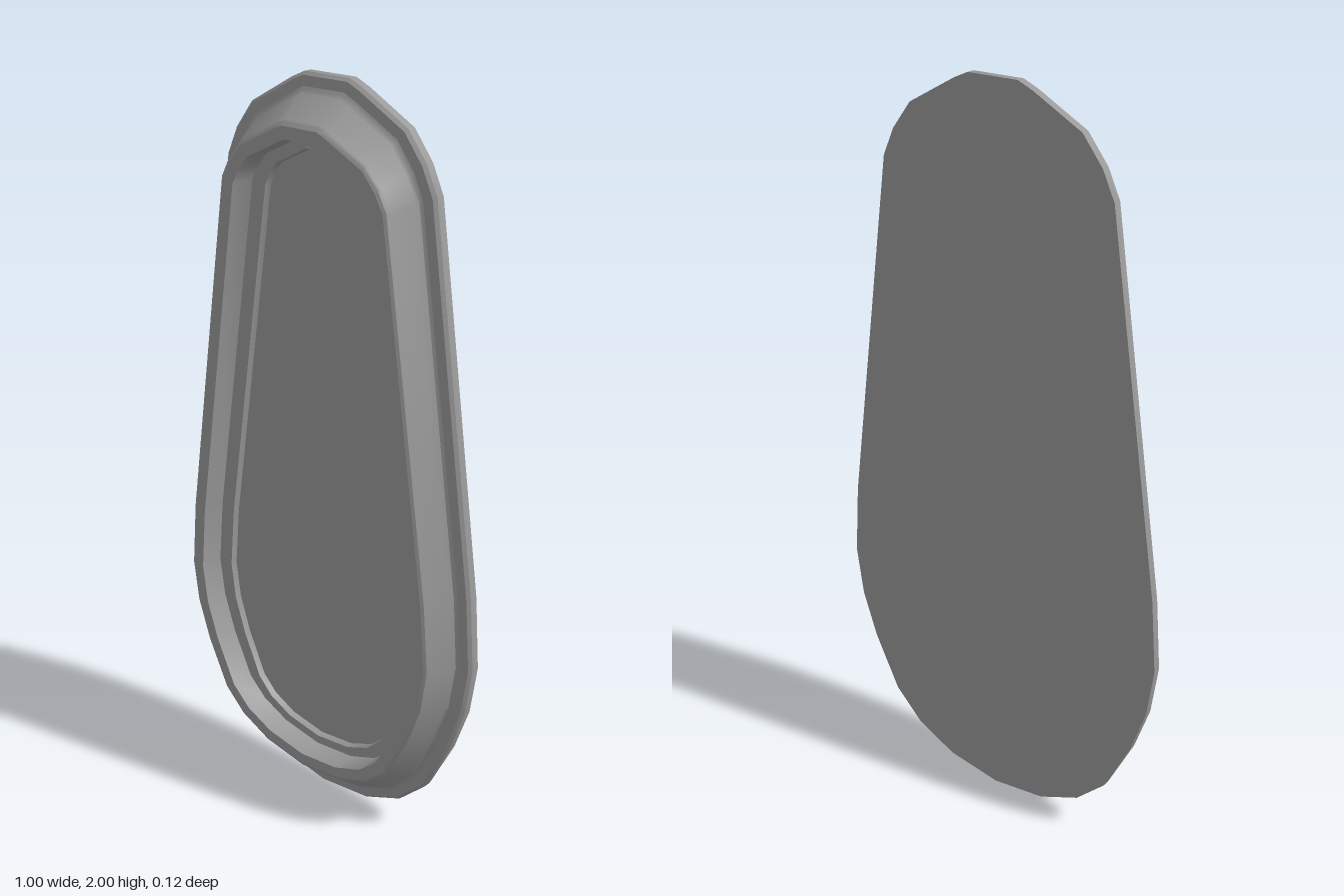
import * as THREE from 'three';
import { toCreasedNormals } from 'three/addons/utils/BufferGeometryUtils.js';

// Right half of the teardrop outline, bottom to top
const half = [
  [0, 0.003], [0.16, 0.027], [0.28, 0.085], [0.365, 0.172], [0.44, 0.33], [0.482, 0.46], [0.5, 0.6],
  [0.483, 0.8], [0.333, 1.77], [0.3, 1.84], [0.245, 1.91], [0.11, 1.983], [0.07, 2.0],
];
const outline = [...half, ...half.slice(1).reverse().map(([x, y]) => [-x, y])]
  .map(([x, y]) => new THREE.Vector2(x, y));

// Outline moved inward by a across and b up and down
function inset(a, b) {
  const n = outline.length;
  return outline.map((p, i) => {
    const before = p.clone().sub(outline[(i + n - 1) % n]).normalize();
    const after = outline[(i + 1) % n].clone().sub(p).normalize();
    const t = before.add(after).normalize();
    return new THREE.Vector2(p.x - t.y * a, p.y + t.x * b);
  });
}

// Surface swept through rings of [a, b, z]
function ringSurface(rings) {
  const n = outline.length, pos = [], index = [];
  for (const [a, b, z] of rings) for (const p of inset(a, b)) pos.push(p.x, p.y, z);
  for (let r = 0; r < rings.length - 1; r++) {
    for (let i = 0; i < n; i++) {
      const j = (i + 1) % n, lo = r * n, hi = lo + n;
      index.push(lo + i, lo + j, hi + j, lo + i, hi + j, hi + i);
    }
  }
  const g = new THREE.BufferGeometry();
  g.setAttribute('position', new THREE.Float32BufferAttribute(pos, 3));
  g.setIndex(index);
  return toCreasedNormals(g, 0.65);
}

export function createModel() {
  const group = new THREE.Group();
  const grey = new THREE.MeshStandardMaterial({ color: 0x999999 });
  grey.name = 'grey';
  const add = (name, geometry) => {
    const mesh = new THREE.Mesh(geometry, grey);
    mesh.name = name;
    group.add(mesh);
    return mesh;
  };

  // Flange, sloped outer wall and rim
  add('flange', ringSurface([[0, 0, -0.059], [0, 0, -0.037], [0.008, 0.008, -0.029], [0.033, 0.033, -0.026]]));
  add('outerWall', ringSurface([
    [0.033, 0.033, -0.026], [0.042, 0.04, -0.023], [0.048, 0.048, -0.014],
    [0.071, 0.098, 0.047], [0.074, 0.103, 0.054], [0.082, 0.112, 0.058],
  ]));
  add('rim', ringSurface([[0.082, 0.112, 0.058], [0.116, 0.143, 0.058]]));

  // Recess: wall, ledge and small step to the floor
  add('innerWall', ringSurface([[0.116, 0.143, 0.058], [0.118, 0.145, -0.008]]));
  add('ledge', ringSurface([[0.118, 0.145, -0.008], [0.164, 0.17, -0.008]]));
  add('floorStep', ringSurface([[0.164, 0.17, -0.008], [0.166, 0.173, -0.026]]));
  add('floor', new THREE.ShapeGeometry(new THREE.Shape(inset(0.166, 0.173)))).position.z = -0.026;

  // Flat back
  const back = add('back', new THREE.ShapeGeometry(new THREE.Shape(outline)));
  back.rotation.y = Math.PI;
  back.position.z = -0.059;

  // Three slim buttons on the sloped right-hand wall
  const along = new THREE.Vector3(0.15, 0.97, 0).normalize();
  const normal = new THREE.Vector3(-along.y * 0.935, along.x * 0.935, 0.354).normalize();
  const across = new THREE.Vector3().crossVectors(along, normal);
  for (let i = -1; i <= 1; i++) {
    const button = add('sideButton', new THREE.BoxGeometry(0.044, 0.13, 0.008));
    button.quaternion.setFromRotationMatrix(new THREE.Matrix4().makeBasis(across, along, normal));
    button.position.set(-0.3535, 1.25, 0.016).addScaledVector(along, i * 0.145);
  }
  return group;
}
